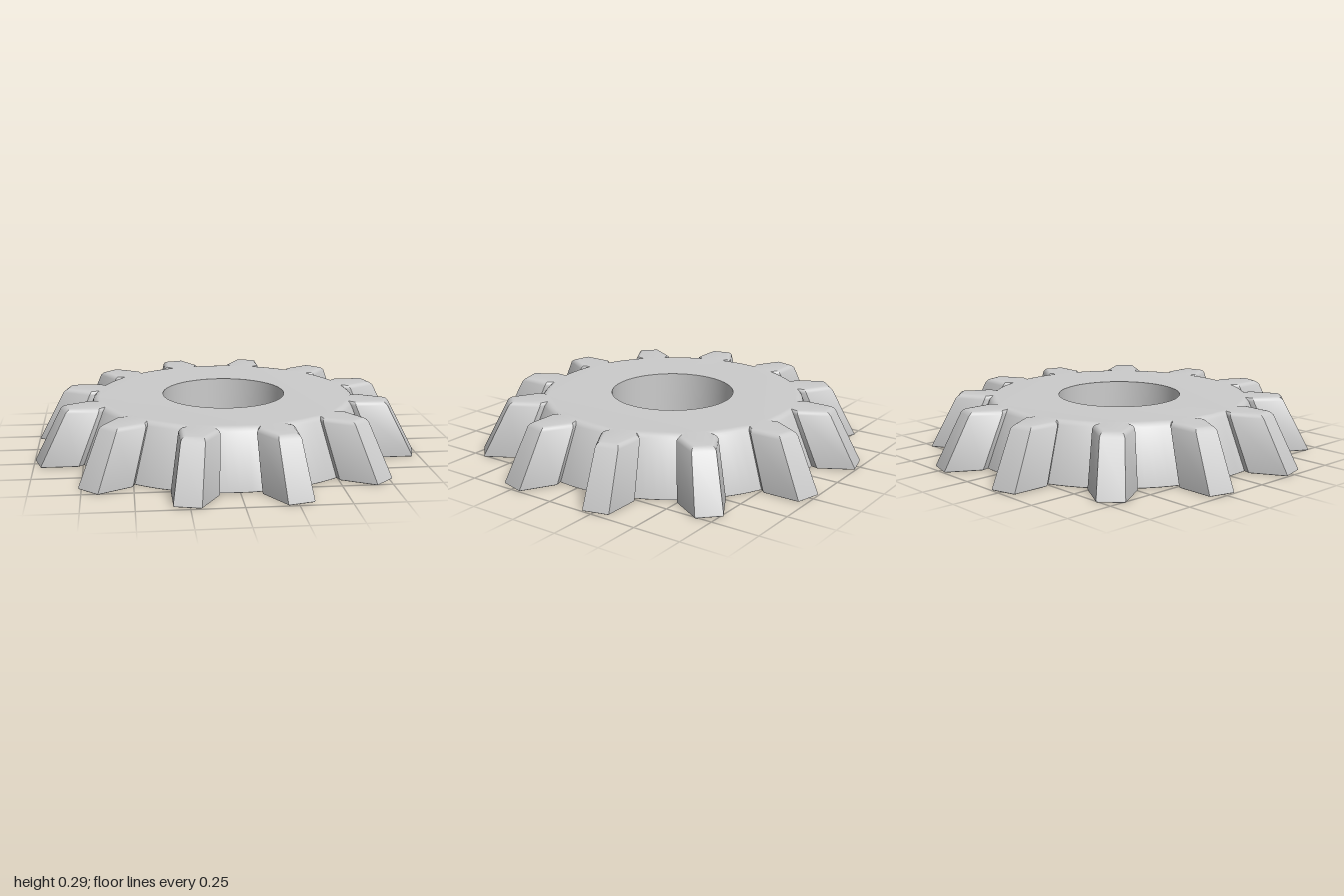
import * as THREE from 'three';
import { toCreasedNormals } from 'three/addons/utils/BufferGeometryUtils.js';

const TEETH = 12, HEIGHT = 0.29, HOLE_RADIUS = 0.325, HOLE_SIDES = 60;
const TAPER = 0.15; // share of the radius lost from bottom to top

const polar = (r, deg) => {
  const a = THREE.MathUtils.degToRad(deg);
  return new THREE.Vector2(r * Math.cos(a), r * Math.sin(a));
};

// Toothed outline at the base: radius and angle from each tooth's centre line
function gearOutline() {
  const tooth = [[0.807, -7.2], [0.84, -8.1], [1.02, -3.8], [1.02, 3.8], [0.84, 8.1], [0.807, 7.2],
    [0.807, 11.1], [0.807, 15], [0.807, 18.9]];
  const points = [];
  for (let i = 0; i < TEETH; i++) {
    for (const [r, deg] of tooth) points.push(polar(r, deg + 15 + (i * 360) / TEETH));
  }
  return points;
}

// Moves every side of an outline inwards by d
function inset(points, d) {
  const n = points.length;
  const normal = (p, q) => new THREE.Vector2(q.y - p.y, p.x - q.x).normalize();
  return points.map((p, i) => {
    const a = normal(points[(i + n - 1) % n], p);
    const b = normal(p, points[(i + 1) % n]);
    return p.clone().addScaledVector(a.clone().add(b), -d / (1 + a.dot(b)));
  });
}

function gearGeometry() {
  const positions = [], index = [];
  const addLoop = (points, y) => {
    const start = positions.length / 3;
    for (const p of points) positions.push(p.x, y, p.y);
    return start;
  };
  const addWall = (low, high, n, inward) => {
    for (let i = 0; i < n; i++) {
      const j = (i + 1) % n;
      const a = low + i, b = high + i, c = high + j, d = low + j;
      if (inward) index.push(a, c, b, a, d, c);
      else index.push(a, b, c, a, c, d);
    }
  };

  // Tapered toothed wall with rounded lower and upper edges: [height, inset]
  const levels = [[0, 0.008], [0.003, 0.002], [0.01, 0], [0.27, 0], [0.281, 0.005], [0.288, 0.013], [HEIGHT, 0.024]];
  const base = gearOutline();
  const loops = levels.map(([y, d]) => {
    const scale = 1 - (TAPER * y) / HEIGHT;
    const points = inset(base.map((p) => p.clone().multiplyScalar(scale)), d);
    return { points, start: addLoop(points, y) };
  });
  for (let i = 0; i + 1 < loops.length; i++) addWall(loops[i].start, loops[i + 1].start, base.length, false);

  // Straight bore
  const hole = Array.from({ length: HOLE_SIDES }, (_, i) => polar(HOLE_RADIUS, (i * 360) / HOLE_SIDES));
  const holeLow = addLoop(hole, 0), holeHigh = addLoop(hole, HEIGHT);
  addWall(holeLow, holeHigh, HOLE_SIDES, true);

  // Flat faces around the bore
  const addCap = (loop, holeStart, up) => {
    const n = loop.points.length;
    const id = (k) => (k < n ? loop.start + k : holeStart + k - n);
    for (const [a, b, c] of THREE.ShapeUtils.triangulateShape(loop.points.slice(), [hole.slice().reverse()])) {
      // the bore was handed over reversed, so map its points back
      const at = (k) => (k < n ? id(k) : id(n + HOLE_SIDES - 1 - (k - n)));
      if (up) index.push(at(a), at(c), at(b));
      else index.push(at(a), at(b), at(c));
    }
  };
  addCap(loops[0], holeLow, false);
  addCap(loops[loops.length - 1], holeHigh, true);

  const geometry = new THREE.BufferGeometry();
  geometry.setAttribute('position', new THREE.Float32BufferAttribute(positions, 3));
  geometry.setIndex(index);
  return toCreasedNormals(geometry, 0.5);
}

export function createModel() {
  const group = new THREE.Group();
  group.name = 'bevelGear';
  const gear = new THREE.Mesh(gearGeometry(), new THREE.MeshStandardMaterial({ color: 0xcccccc }));
  gear.name = 'gearBody';
  group.add(gear);
  return group;
}
